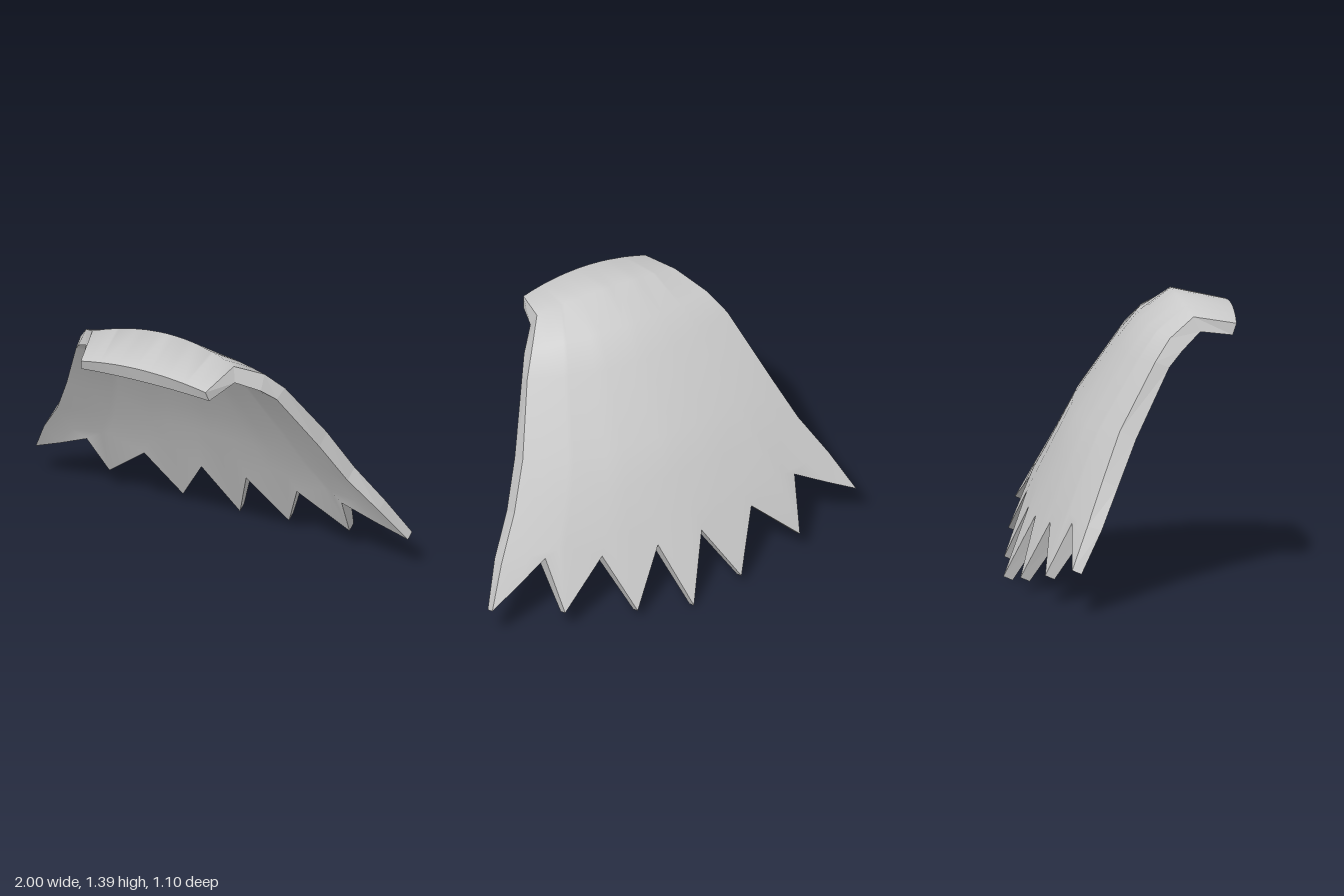
import * as THREE from 'three';
import { mergeGeometries } from 'three/addons/utils/BufferGeometryUtils.js';

// Cross-sections from the shoulder lip down: half width,
// outer [y, z] at the centre and at the side edge, inward offset [y, z] at each
const SECTIONS = [
  { w: 0.335, c: [1.335, 0.55], e: [1.29, 0.535], tc: [-0.08, -0.025], te: [-0.055, -0.02], dx: 0.01 },
  { w: 0.38, c: [1.395, 0.275], e: [1.335, 0.32], tc: [-0.075, 0.02], te: [-0.07, 0.03], dx: 0.02 },
  { w: 0.48, c: [1.27, 0.12], e: [1.25, 0.19], tc: [-0.06, 0.06], te: [-0.06, 0.06], dx: 0.01 },
  { w: 0.55, c: [1.12, 0.01], e: [1.15, 0.11], tc: [-0.035, 0.07], te: [-0.03, 0.07], dx: -0.01 },
  { w: 0.68, c: [0.8, -0.2], e: [0.84, -0.08], tc: [-0.04, 0.08], te: [-0.04, 0.08], dx: 0 },
  { w: 0.78, c: [0.62, -0.286], e: [0.62, -0.177], tc: [-0.035, 0.075], te: [-0.035, 0.075], dx: 0 },
  { w: 0.9, c: [0.45, -0.365], e: [0.42, -0.267], tc: [-0.03, 0.075], te: [-0.02, 0.07], dx: 0 },
];

// Half of the ragged hem, centre to corner: outer [x, y, z] and inward [dy, dz]
const HEM = [
  [0, 0.02, -0.55, -0.02, 0.045], [0.12, 0.338, -0.41, -0.03, 0.08],
  [0.285, 0.065, -0.507, -0.02, 0.045], [0.41, 0.357, -0.38, -0.03, 0.085],
  [0.645, 0.138, -0.437, -0.02, 0.045], [0.685, 0.4, -0.312, -0.03, 0.085],
  [0.85, 0.306, -0.335, -0.025, 0.065], [1, 0.225, -0.355, -0.02, 0.045],
];

function geometryFrom(positions, index) {
  const geometry = new THREE.BufferGeometry();
  geometry.setAttribute('position', new THREE.Float32BufferAttribute(positions, 3));
  geometry.setIndex(index);
  return geometry;
}

// Area-weighted normals keep a skin smooth
function smoothSkin(positions, index) {
  const indexed = geometryFrom(positions, index);
  indexed.computeVertexNormals();
  return indexed.toNonIndexed();
}

function createCloth() {
  const half = HEM.length - 1;
  const cols = half * 2 + 1;
  const rows = SECTIONS.length + 1;
  const outer = [], inner = [];

  // Outer and inner skins; every section bows as a parabola
  for (let r = 0; r < rows; r++) {
    for (let c = 0; c < cols; c++) {
      const sign = Math.sign(c - half);
      const [s, hemY, hemZ, hemDy, hemDz] = HEM[Math.abs(c - half)];
      const sec = SECTIONS[r];
      if (sec) {
        const mix = (a, b, i) => a[i] + (b[i] - a[i]) * s * s;
        const x = sign * s * sec.w, y = mix(sec.c, sec.e, 0), z = mix(sec.c, sec.e, 1);
        outer.push(x, y, z);
        inner.push(x + sign * s * sec.dx, y + mix(sec.tc, sec.te, 0), z + mix(sec.tc, sec.te, 1));
      } else {
        outer.push(sign * s, hemY, hemZ);
        inner.push(sign * s, hemY + hemDy, hemZ + hemDz);
      }
    }
  }

  // Faces of the outer skin, diagonals mirrored about the centre line
  const outerIndex = [];
  for (let r = 0; r < rows - 1; r++) {
    for (let c = 0; c < cols - 1; c++) {
      const a = r * cols + c, b = a + 1, d = a + cols, e = d + 1;
      if (c < half) outerIndex.push(a, b, e, a, e, d);
      else outerIndex.push(a, b, d, b, e, d);
    }
  }
  const innerIndex = [...outerIndex].reverse();

  // Rim closing the thickness all the way round
  const loop = [];
  for (let c = 0; c < cols - 1; c++) loop.push(c);
  for (let r = 0; r < rows - 1; r++) loop.push(r * cols + cols - 1);
  for (let c = cols - 1; c > 0; c--) loop.push((rows - 1) * cols + c);
  for (let r = rows - 1; r > 0; r--) loop.push(r * cols);
  const n = rows * cols;
  const rimIndex = loop.flatMap((a, i) => {
    const b = loop[(i + 1) % loop.length];
    return [b, a, n + b, a, n + a, n + b];
  });
  const rim = geometryFrom([...outer, ...inner], rimIndex).toNonIndexed();
  rim.computeVertexNormals();

  return mergeGeometries([smoothSkin(outer, outerIndex), smoothSkin(inner, innerIndex), rim]);
}

export function createModel() {
  const group = new THREE.Group();
  group.name = 'cape';
  const cloth = new THREE.Mesh(createCloth(), new THREE.MeshStandardMaterial({ color: 0xcccccc }));
  cloth.name = 'capeCloth';
  group.add(cloth);
  return group;
}
